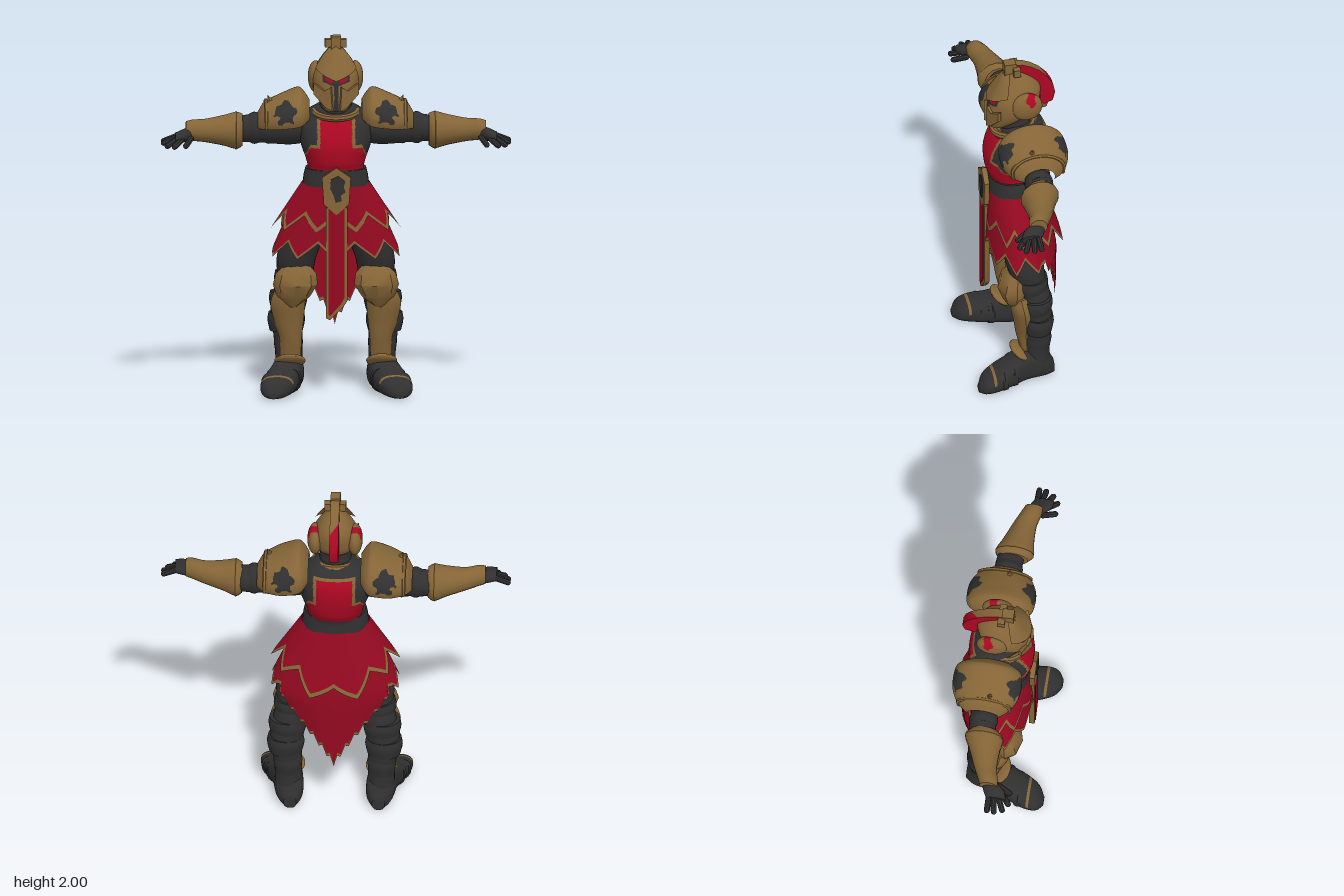
import * as THREE from 'three';
import { toCreasedNormals } from 'three/addons/utils/BufferGeometryUtils.js';

const material = (name, color) => new THREE.MeshStandardMaterial({ name, color, side: THREE.DoubleSide });

// Grid surface from f(u, v) -> [x, y, z]
function surface(f, nu, nv) {
  const pos = [], index = [];
  for (let j = 0; j <= nv; j++) for (let i = 0; i <= nu; i++) pos.push(...f(i / nu, j / nv));
  for (let j = 0; j < nv; j++) for (let i = 0; i < nu; i++) {
    const a = j * (nu + 1) + i, b = a + 1, c = a + nu + 1, d = c + 1;
    index.push(a, b, d, a, d, c);
  }
  const g = new THREE.BufferGeometry();
  g.setAttribute('position', new THREE.Float32BufferAttribute(pos, 3));
  g.setIndex(index);
  return g;
}

// Smooth loft through sections [x, y, z, a, b] in planes across the axis.
// Radii: axis y -> a=x b=z, axis x -> a=z b=y, axis z -> a=y b=x
function loft(sections, { axis = 'y', segs = 24, n = 2, rings = 24, arc = null } = {}) {
  const centre = new THREE.CatmullRomCurve3(sections.map(s => new THREE.Vector3(s[0], s[1], s[2])), false, 'catmullrom');
  const size = new THREE.CatmullRomCurve3(sections.map(s => new THREE.Vector3(s[3], s[4], 0)), false, 'catmullrom');
  const bend = k => Math.sign(k) * Math.pow(Math.abs(k), 2 / n);
  const [ia, ib] = { y: [0, 2], x: [2, 1], z: [1, 0] }[axis];
  const caps = arc ? 0 : 1, nv = rings + 2 * caps;
  return surface((u, v) => {
    const j = Math.round(v * nv), t = Math.min(1, Math.max(0, (j - caps) / rings));
    const k = caps && (j === 0 || j === nv) ? 0 : 1;
    const th = arc ? -arc + 2 * arc * u : u * Math.PI * 2;
    const p = centre.getPoint(t).toArray(), r = size.getPoint(t);
    p[ia] += k * r.x * bend(Math.sin(th));
    p[ib] += k * r.y * bend(Math.cos(th));
    return p;
  }, segs, nv);
}

// Sort triangles into material groups by their centres
function paint(g, pick) {
  const p = g.attributes.position.array, q = g.attributes.normal.array, bins = [];
  for (let i = 0; i < p.length; i += 9) {
    const c = [0, 1, 2].map(k => (p[i + k] + p[i + 3 + k] + p[i + 6 + k]) / 3);
    (bins[pick(...c)] ??= []).push(i);
  }
  const out = new THREE.BufferGeometry(), pos = [], nor = [];
  bins.forEach((list, m) => {
    out.addGroup(pos.length / 3, list.length * 3, m);
    for (const i of list) for (let k = 0; k < 9; k++) { pos.push(p[i + k]); nor.push(q[i + k]); }
  });
  out.setAttribute('position', new THREE.Float32BufferAttribute(pos, 3));
  out.setAttribute('normal', new THREE.Float32BufferAttribute(nor, 3));
  return out;
}

function mirrored(g) {
  const m = g.clone();
  for (const key of ['position', 'normal']) {
    const a = m.attributes[key].array;
    for (let i = 0; i < a.length; i += 9) {
      for (let k = 0; k < 3; k++) [a[i + 3 + k], a[i + 6 + k]] = [a[i + 6 + k], a[i + 3 + k]];
      for (let k = 0; k < 9; k += 3) a[i + k] *= -1;
    }
  }
  return m;
}

const plate = (pts, depth) => new THREE.ExtrudeGeometry(
  new THREE.Shape(pts.map(p => new THREE.Vector2(...p))), { depth, bevelEnabled: false });
const blob = (x, y, z, rx, ry, rz, tilt = 0) =>
  new THREE.SphereGeometry(1, 48, 32).scale(rx, ry, rz).rotateX(tilt).translate(x, y, z);
const box = (x, y, z, w, h, d) => new THREE.BoxGeometry(w, h, d).translate(x, y, z);
function finger(from, to, r) {
  const a = new THREE.Vector3(...from), b = new THREE.Vector3(...to), d = b.clone().sub(a);
  const turn = new THREE.Quaternion().setFromUnitVectors(new THREE.Vector3(0, 1, 0), d.clone().normalize());
  return new THREE.CapsuleGeometry(r, d.length() - r, 4, 8).applyQuaternion(turn).translate(...a.add(b).multiplyScalar(0.5).toArray());
}

export function createModel() {
  const model = new THREE.Group();
  const gold = material('bronze gold', 0x856537), dark = material('charcoal', 0x303030);
  const red = material('crimson', 0xab0822), cloth = material('skirt crimson', 0x930920);
  const palette = [gold, dark, red, cloth];
  const add = (name, geo, mat, pick) => {
    let g = toCreasedNormals(geo, 0.65);
    if (pick) g = paint(g, pick);
    const mesh = new THREE.Mesh(g, pick ? palette : mat);
    mesh.name = name;
    model.add(mesh);
    return mesh;
  };
  const pair = (name, geo, mat, pick) => {
    const left = add(name + 'Left', geo, mat, pick);
    const right = new THREE.Mesh(mirrored(left.geometry), left.material);
    right.name = name + 'Right';
    model.add(right);
  };

  // Torso with bib, gold piping and dark side panels
  add('torso', loft([[0, 1.02, 0, .14, .11], [0, 1.17, 0, .175, .145], [0, 1.25, -.005, .155, .145], [0, 1.31, -.01, .165, .168],
    [0, 1.40, -.018, .195, .178], [0, 1.50, -.035, .2, .16], [0, 1.57, -.045, .16, .12], [0, 1.61, -.04, .1, .08]],
  { segs: 140, rings: 110, n: 2.4 }), null, (x, y, z) => {
    const w = Math.abs(x), bib = z > 0 ? .088 : .1;
    const side = 1.39 - .055 * THREE.MathUtils.smoothstep(w, .14, .17);
    if (y < 1.262 || y > 1.565) return 1;
    if (w < bib || y < side) return y > 1.55 ? 0 : 2;
    return w < bib + .017 || y < side + .015 ? 0 : 1;
  });
  add('belt', loft([[0, 1.17, 0, .184, .152], [0, 1.22, 0, .178, .148], [0, 1.262, 0, .168, .148]], { rings: 6, segs: 40, n: 2.3 }), dark);
  add('buckle', plate([[0, 1.02], [.07, 1.08], [.08, 1.23], [0, 1.285], [-.08, 1.23], [-.07, 1.08]], .03).translate(0, 0, .148), gold);
  add('buckleInlay', plate([[-.005, 1.09], [.03, 1.1], [.025, 1.13], [.05, 1.15], [.04, 1.18], [.05, 1.21], [.01, 1.24],
    [-.03, 1.22], [-.035, 1.17], [-.015, 1.13]], .006).translate(0, 0, .177), dark);
  add('neck', loft([[0, 1.54, -.03, .11, .1], [0, 1.6, -.01, .09, .09], [0, 1.7, 0, .08, .09]]), dark);
  add('collar', new THREE.TorusGeometry(.115, .02, 8, 32).rotateX(Math.PI / 2 + .2).translate(0, 1.575, 0), gold);

  // Layered skirt with zigzag gold hems, longest at the back
  const tri = t => Math.abs(((t % 1) + 1) % 1 - .5) * 4 - 1;
  const shell = (top, bottom, flare, back) => surface((u, v) => {
    const th = (1 - u) * Math.PI * 2 - Math.PI, y = THREE.MathUtils.lerp(top(th), bottom(th), v);
    const drop = 1.18 - y, c = Math.cos(th);
    const rx = .187 + flare * Math.min(drop, .42) - .35 * Math.max(0, drop - .42);
    const rz = c > 0 ? .153 + .05 * Math.min(drop, .4) : .155 + back * Math.min(drop, .4) + .01 * Math.max(0, drop - .4);
    return [rx * Math.sin(th), y, rz * c];
  }, 160, 12);
  const waist = () => 1.18;
  const upperEdge = th => .965 + .045 * tri(th * 10 / (2 * Math.PI)) - .135 * Math.max(0, -Math.cos(th)) ** 4;
  const lowerEdge = th => {
    const d = Math.PI - Math.abs(th);
    return Math.min(.81 + .045 * tri(th * 10 / (2 * Math.PI) + .5), .355 + .42 * d + .02 * tri(th * 40 / (2 * Math.PI) + .5));
  };
  for (const [name, edge, hem, flare, back] of [['upperSkirt', upperEdge, .026, .66, .305], ['lowerSkirt', lowerEdge, .018, .44, .195]]) {
    add(name, shell(waist, th => edge(th) + hem, flare, back), cloth);
    add(name + 'Hem', shell(th => edge(th) + hem, edge, flare, back), gold);
  }
  add('tabardTrim', plate([[-.057, 1.06], [.062, 1.06], [.062, .54], [.035, .5], [-.035, .43], [-.057, .44]], .03).translate(0, 0, .144), gold);
  add('tabard', plate([[-.043, 1.06], [.044, 1.06], [.044, .555], [.025, .52], [-.033, .455], [-.043, .46]], .006).translate(0, 0, .172), cloth);

  // Helmet with visor slit and eyes
  add('helmet', loft([[0, 1.595, .085, .06, .055], [0, 1.65, .04, .1, .105], [0, 1.71, .005, .125, .138], [0, 1.78, -.012, .128, .14],
    [0, 1.84, -.025, .102, .125], [0, 1.89, -.025, .07, .09], [0, 1.94, -.01, .03, .045]], { segs: 128, rings: 90 }), null, (x, y, z) => {
    const w = Math.abs(x), eye = y - (1.732 + .35 * w);
    if (z < .02) return 0;
    if (w > .018 && w < .064 && eye > .012 && eye < .03) return 2;
    return (w < .012 && y < 1.76) || (w < .075 && eye > 0 && eye < .05) ? 1 : 0;
  });
  pair('cheekGuard', plate([[.012, 1.60], [.05, 1.615], [.125, 1.69], [.125, 1.75], [.06, 1.71], [.02, 1.735]], .02)
    .translate(0, 0, .145).rotateY(.42).translate(-.055, 0, .012), gold);
  // Sloping brow that overhangs the eyes in a point
  add('brow', surface((u, v) => {
    const a = -1.25 + 2.5 * u, y = THREE.MathUtils.lerp(1.765 + .05 * Math.abs(a), 1.95, v);
    return [.12 * Math.pow(1 - v, .55) * Math.sin(a), y, .008 + (.142 - .1 * v) * Math.cos(a)];
  }, 16, 8), gold);
  pair('earGuard', blob(.11, 1.76, -.055, .043, .088, .088), null, (x, y, z) =>
    Math.hypot((y - 1.82) / .037, (z + .075) / .027) < 1 + .2 * Math.sin(y * 120 + z * 60) ? 2 : 0);
  add('crest', plate([[-.01, 1.99], [.05, 1.987], [.1, 1.965], [.15, 1.93], [.195, 1.88], [.222, 1.83], [.235, 1.77], [.22, 1.715], [.17, 1.695], [.15, 1.72],
    [.15, 1.77], [.14, 1.82], [.11, 1.87], [.06, 1.91], [-.01, 1.925]], .05).translate(0, 0, -.025).rotateY(Math.PI / 2), null,
  (x, y, z) => Math.abs(x) < .02 && z > -.17 ? 0 : 2);
  add('crestHolder', box(0, 1.955, .018, .055, .09, .066), gold);
  add('crestCrossbar', box(0, 1.955, -.015, .12, .045, .04), gold);

  // Arms
  pair('arm', loft([[.12, 1.49, -.05, .09, .09], [.25, 1.48, -.05, .095, .1], [.4, 1.475, -.05, .075, .085], [.5, 1.47, -.05, .075, .075],
    [.62, 1.465, -.03, .065, .065], [.78, 1.46, .03, .04, .04], [.84, 1.452, .065, .06, .036], [.89, 1.443, .085, .055, .026]],
  { axis: 'x', rings: 30 }), dark);
  for (const x of [.37, .45])
    pair('armBand', loft([[x - .035, 1.473, -.05, .072, .08], [x, 1.473, -.05, .08, .09], [x + .03, 1.473, -.05, .07, .077]], { axis: 'x', rings: 6 }), dark);
  [[.87, 1.45, .045, .96, 1.415, .045], [.875, 1.447, .07, .96, 1.41, .085], [.87, 1.443, .095, .94, 1.4, .13],
    [.85, 1.438, .11, .9, 1.4, .16], [.8, 1.44, .08, .835, 1.405, .16]].forEach(f =>
    pair('finger', finger(f.slice(0, 3), f.slice(3), .0165), dark));
  pair('bracer', loft([[.515, 1.465, -.035, .082, .09], [.55, 1.462, -.032, .108, .104], [.62, 1.465, -.02, .088, .086],
    [.72, 1.468, .0, .066, .066], [.79, 1.474, .025, .058, .06], [.83, 1.474, .035, .05, .052]], { axis: 'x', segs: 14 }), gold);
  pair('bracerRim', loft([[.535, 1.462, -.032, .098, .095], [.55, 1.462, -.032, .11, .108], [.565, 1.462, -.03, .098, .095]], { axis: 'x', segs: 14, rings: 4 }), gold);

  // Pauldrons with worn dark patches front and back
  pair('pauldron', loft([[.145, 1.56, -.06, .12, .07], [.175, 1.555, -.06, .17, .12], [.21, 1.55, -.06, .188, .148], [.29, 1.535, -.06, .19, .132],
    [.35, 1.525, -.06, .17, .114], [.395, 1.515, -.06, .137, .1], [.43, 1.5, -.06, .085, .06]],
  { axis: 'x', segs: 110, rings: 70, arc: 1.9 }), null, (x, y, z) =>
    Math.abs(z + .06) > .065 && ((x - .28) / .058) ** 2 + ((y - 1.58) / .058) ** 2 < 1 + .6 * Math.sin(x * 75) * Math.sin(y * 85 + 1) ? 1 : 0);
  const rim = [-1.9, -1.3, -.65, 0, .65, 1.3, 1.9].map(a => new THREE.Vector3(.385, 1.518 + .103 * Math.cos(a), -.06 + .146 * Math.sin(a)));
  pair('pauldronRim', new THREE.TubeGeometry(new THREE.CatmullRomCurve3(rim), 32, .012, 6), gold);
  pair('pauldronSpike', new THREE.ConeGeometry(.025, .06, 5).rotateZ(-.4).translate(.365, 1.635, -.03), gold);

  // Legs and armour bands
  pair('leg', loft([[.26, .08, -.08, .075, .075], [.258, .2, -.078, .075, .072], [.265, .35, -.08, .083, .08], [.265, .46, -.075, .095, .085],
    [.245, .56, -.065, .095, .09], [.225, .66, -.04, .1, .095], [.215, .76, -.02, .11, .105], [.16, .94, -.01, .12, .12], [.1, 1.1, 0, .08, .1]],
  { rings: 36 }), dark);
  [[.26, .26, -.08, .08, .08], [.272, .39, -.08, .104, .09], [.262, .51, -.07, .106, .096],
    [.232, .63, -.045, .108, .102]].forEach(([x, y, z, a, b]) =>
    pair('legBand', loft([[x, y - .06, z, a * .88, b * .88], [x, y, z, a, b], [x, y + .045, z, a * .94, b * .94]], { rings: 6 }), dark));
  pair('greave', loft([[.248, .2, -.015, .056, .03], [.25, .3, -.008, .062, .046], [.26, .4, -.002, .082, .056], [.265, .5, .01, .096, .062],
    [.25, .58, .025, .085, .055]], { segs: 12 }), gold);
  pair('kneeGuard', loft([[.24, .485, .045, .025, .03], [.235, .54, .05, .09, .058], [.225, .61, .05, .124, .085], [.22, .67, .045, .112, .07],
    [.215, .72, .03, .065, .04]], { segs: 8, rings: 4 }), gold);

  // Boots
  pair('boot', loft([[.245, .04, -.175, .04, .035], [.25, .085, -.12, .085, .075], [.265, .1, -.01, .1, .085], [.295, .078, .08, .078, .094],
    [.325, .062, .17, .062, .094], [.342, .045, .235, .045, .072], [.35, .022, .27, .018, .025]], { axis: 'z', n: 2.5, segs: 36, rings: 60 }),
  null, (x, y, z) => Math.abs(z - .185) < .007 && y > .07 ? 0 : 1);
  for (const [x, y, z, r] of [[.29, .075, .07, .1], [.315, .065, .13, .1]])
    pair('bootBand', loft([[x, y, z - .02, y * .98, r * .92], [x, y + .004, z, y + .003, r], [x, y, z + .02, y * .98, r * .92]], { axis: 'z', n: 2.6, rings: 4 }), dark);
  pair('anklePlate', blob(.254, .175, .012, .086, .026, .07, -.6), gold);
  return model;
}
